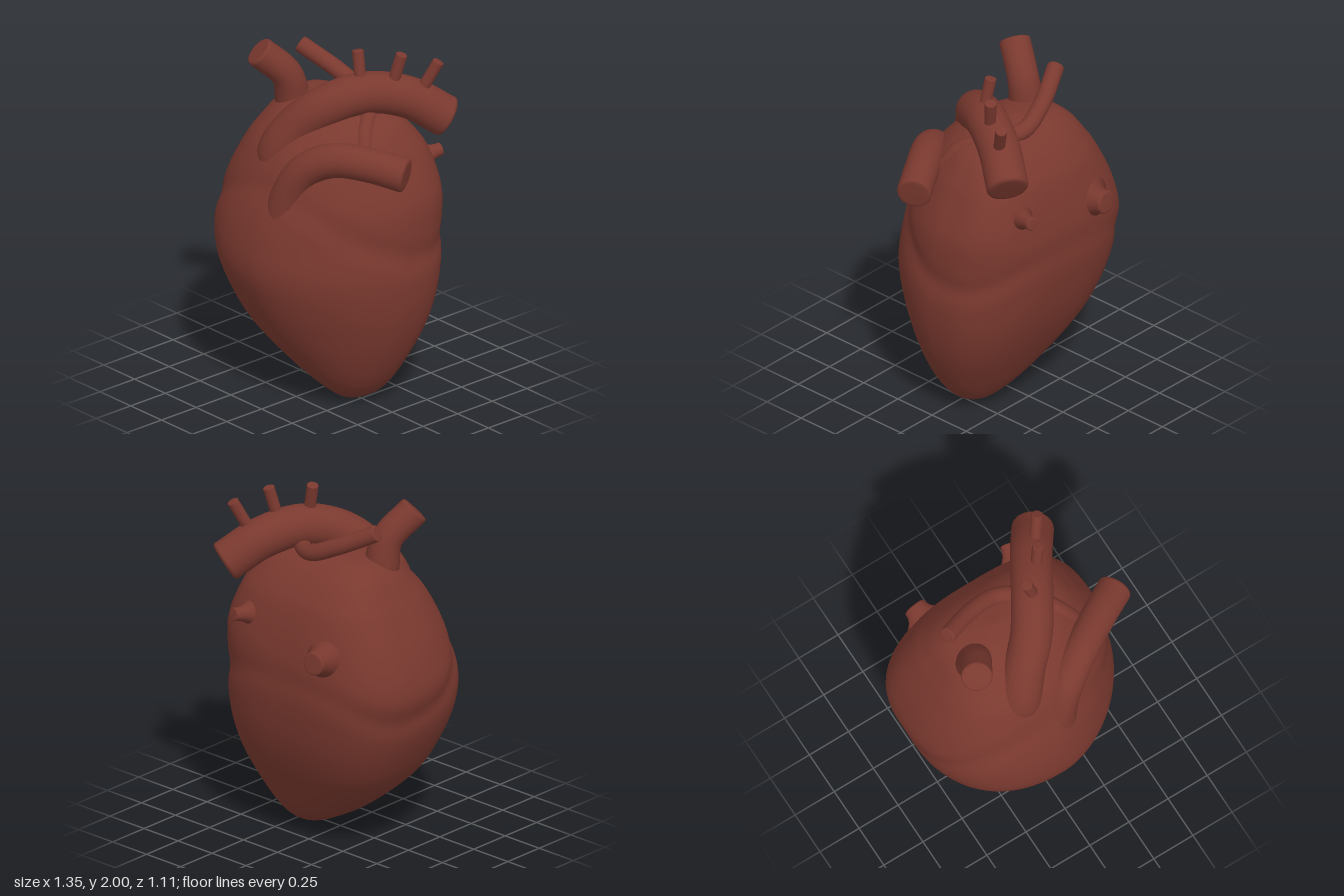
import * as THREE from 'three';
import { mergeGeometries } from 'three/addons/utils/BufferGeometryUtils.js';

const V = (p) => new THREE.Vector3(...p);
const { smoothstep } = THREE.MathUtils;

// Body cross-sections from apex to dome: y, left x, right x, front z, back z
const SECTIONS = [
  [0.005, 0.19, 0.19, 0, 0],
  [0.02, 0.11, 0.26, 0.08, -0.09],
  [0.08, -0.02, 0.345, 0.16, -0.175],
  [0.2, -0.22, 0.43, 0.265, -0.265],
  [0.4, -0.45, 0.52, 0.4, -0.37],
  [0.6, -0.575, 0.57, 0.495, -0.45],
  [0.8, -0.65, 0.585, 0.55, -0.495],
  [1.0, -0.677, 0.572, 0.53, -0.513],
  [1.2, -0.625, 0.555, 0.465, -0.495],
  [1.4, -0.53, 0.475, 0.375, -0.445],
  [1.5, -0.47, 0.42, 0.305, -0.395],
  [1.6, -0.4, 0.34, 0.19, -0.31],
  [1.66, -0.3, 0.21, 0.06, -0.21],
  [1.685, -0.07, -0.07, -0.08, -0.08],
];

// Groove between the upper and lower chambers, as a height for each angle
const grooveHeight = (a) => 1.02 + 0.025 * Math.cos(a) + 0.12 * Math.sin(a) - 0.13 * Math.cos(2 * a);

// Roundness of each quarter of a section: squarer at the back, flatter at the front right
function quarterPower(c, s, y) {
  const low = smoothstep(y, 0.05, 0.5);
  const high = smoothstep(y, 1.0, 1.4);
  if (s < 0) return 2.1 + 0.65 * low + (c > 0 ? 0.6 : 0) * high;
  return c < 0 ? 2 + 0.3 * low + 0.25 * high : 2 - 0.25 * low;
}

function bodyGeometry(rings = 90, sides = 96) {
  const curveThrough = (x, z) => new THREE.CatmullRomCurve3(
    SECTIONS.map((s) => V([s[x], s[0], s[z]])), false, 'catmullrom', 0.5);
  const leftFront = curveThrough(1, 3);
  const rightBack = curveThrough(2, 4);
  const pos = [];
  const index = [];
  for (let i = 0; i <= rings; i++) {
    const lf = leftFront.getPoint(i / rings);
    const rb = rightBack.getPoint(i / rings);
    const y = lf.y;
    const xc = (lf.x + rb.x) / 2;
    const zc = lf.z * 0.42 + rb.z * 0.58;
    for (let j = 0; j < sides; j++) {
      const a = (j / sides) * Math.PI * 2;
      const c = Math.cos(a);
      const s = Math.sin(a);
      const e = 2 / quarterPower(c, s, y);
      const d = (y - grooveHeight(a)) / 0.07;
      const k = 1 - (0.018 + 0.01 * c * c) * Math.exp(-d * d);
      const x = Math.sign(c) * Math.abs(c) ** e * (rb.x - lf.x) / 2;
      const z = Math.abs(s) ** e * (s >= 0 ? lf.z - zc : rb.z - zc);
      pos.push(xc + x * k, y, zc + z * k);
      if (i < rings) {
        const n = (j + 1) % sides;
        const p = i * sides;
        const q = p + sides;
        index.push(p + j, q + j, p + n, q + j, q + n, p + n);
      }
    }
  }
  const g = new THREE.BufferGeometry();
  g.setAttribute('position', new THREE.Float32BufferAttribute(pos, 3));
  g.setIndex(index);
  g.computeVertexNormals();
  return g;
}

// Smooth vessel with a flared root and a closed end with a rounded rim
function vesselGeometry(points, radius, flare = 0, flareLength = 0.3) {
  const curve = new THREE.CatmullRomCurve3(points.map(V));
  const rings = 48;
  const sides = 28;
  const tube = new THREE.TubeGeometry(curve, rings, radius, sides, false);
  const pos = tube.attributes.position;
  const v = new THREE.Vector3();
  for (let i = 0; i <= rings; i++) {
    const t = i / rings;
    const centre = curve.getPointAt(t);
    const k = 1 + flare * Math.max(0, 1 - t / flareLength) ** 2;
    for (let j = 0; j <= sides; j++) {
      const n = i * (sides + 1) + j;
      v.fromBufferAttribute(pos, n).sub(centre).multiplyScalar(k).add(centre);
      pos.setXYZ(n, v.x, v.y, v.z);
    }
  }
  const rim = [[1, 0], [0.985, 0.07], [0.94, 0.13], [0.86, 0.165], [0.7, 0.18], [0, 0.185]];
  const cap = new THREE.LatheGeometry(rim.map(([r, h]) => new THREE.Vector2(r * radius, h * radius)), sides);
  cap.applyQuaternion(new THREE.Quaternion().setFromUnitVectors(V([0, 1, 0]), curve.getTangentAt(1)));
  cap.translate(...curve.getPointAt(1).toArray());
  return mergeGeometries([tube, cap]);
}

export function createModel() {
  const group = new THREE.Group();
  const muscle = new THREE.MeshStandardMaterial({ color: 0x7a392f });
  muscle.name = 'muscle red';
  const add = (name, geometry) => {
    const mesh = new THREE.Mesh(geometry, muscle);
    mesh.name = name;
    group.add(mesh);
  };

  add('heartBody', bodyGeometry());

  // Great vessels
  add('aorta', vesselGeometry([
    [-0.12, 1.2, 0.22], [-0.13, 1.41, 0.25], [-0.065, 1.565, 0.185], [0.05, 1.69, 0.08],
    [0.17, 1.755, -0.1], [0.29, 1.71, -0.3], [0.405, 1.59, -0.465],
  ], 0.115, 0.25, 0.4));
  add('pulmonaryTrunk', vesselGeometry([
    [0.03, 1.0, 0.37], [0.05, 1.22, 0.355], [0.135, 1.4, 0.31], [0.27, 1.485, 0.23],
    [0.45, 1.485, 0.12], [0.618, 1.453, 0.022],
  ], 0.095, 0.35, 0.45));
  add('upperVein', vesselGeometry([
    [-0.25, 1.38, -0.02], [-0.28, 1.6, 0.02], [-0.292, 1.76, 0.06], [-0.365, 1.9, 0.185],
  ], 0.086, 0.9, 0.7));
  add('thinArtery', vesselGeometry([
    [0.36, 1.43, 0.08], [0.28, 1.58, 0.0], [0.18, 1.65, -0.12], [0.02, 1.67, -0.22],
    [-0.15, 1.745, -0.2], [-0.365, 1.86, -0.112],
  ], 0.047));

  // Three small branches on top of the aortic arch
  [
    [[0.17, 1.78, -0.07], [0.125, 1.992, -0.085]],
    [[0.255, 1.75, -0.2], [0.3, 1.978, -0.245]],
    [[0.33, 1.71, -0.33], [0.403, 1.92, -0.418]],
  ].forEach((path, i) => add('archBranch' + (i + 1), vesselGeometry(path, 0.032)));

  // Vein stubs on the back
  add('largeBackVein', vesselGeometry([[-0.29, 1.2, -0.44], [-0.3, 1.21, -0.535]], 0.066, 1.2, 0.95));
  add('smallBackVein', vesselGeometry([[0.26, 1.315, -0.43], [0.285, 1.33, -0.535]], 0.037, 1.1, 0.9));

  return group;
}
